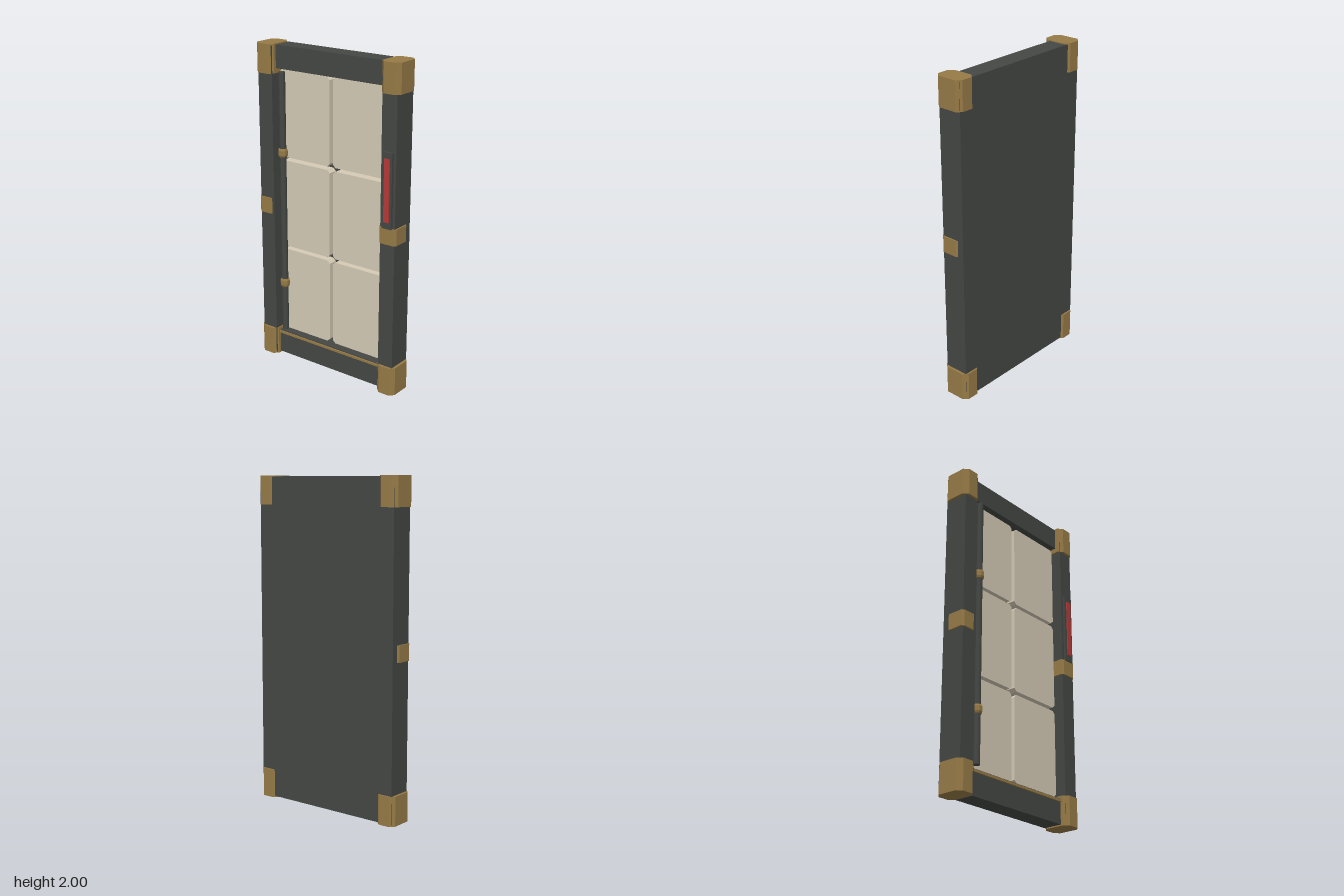
import * as THREE from 'three';

const material = (color) => new THREE.MeshStandardMaterial({ color, flatShading: true });

export function createModel() {
  const door = new THREE.Group();
  door.name = 'panelDoor';
  const dark = material(0x444743);
  const cream = material(0xd4cab4);
  const brass = material(0x967a46);
  const red = material(0xb43a38);

  function add(name, geometry, mat) {
    const mesh = new THREE.Mesh(geometry, mat);
    mesh.name = name;
    door.add(mesh);
    return mesh;
  }

  // Box given by its limits on each axis
  function box(name, mat, [x0, x1], [y0, y1], [z0, z1]) {
    const mesh = add(name, new THREE.BoxGeometry(x1 - x0, y1 - y0, z1 - z0), mat);
    mesh.position.set((x0 + x1) / 2, (y0 + y1) / 2, (z0 + z1) / 2);
    return mesh;
  }

  // Rectangle with cut corners, centred on the origin
  function cutRectangle(w, h, c) {
    const a = w / 2, b = h / 2;
    return new THREE.Shape([
      [-a + c, -b], [a - c, -b], [a, -b + c], [a, b - c],
      [a - c, b], [-a + c, b], [-a, b - c], [-a, -b + c],
    ].map(([x, y]) => new THREE.Vector2(x, y)));
  }

  // Upright block whose four vertical edges are cut
  function cutBlock(name, [x0, x1], [y0, y1], [z0, z1], cut) {
    const geometry = new THREE.ExtrudeGeometry(cutRectangle(x1 - x0, z1 - z0, cut),
      { depth: y1 - y0, bevelEnabled: false });
    geometry.rotateX(-Math.PI / 2);
    const mesh = add(name, geometry, brass);
    mesh.position.set((x0 + x1) / 2, y0, (z0 + z1) / 2);
  }

  // Backing and frame
  box('backing', dark, [-0.42, 0.42], [0.01, 1.99], [-0.081, -0.05]);
  box('rightPost', dark, [-0.497, -0.393], [0.01, 1.99], [-0.081, 0.071]);
  box('leftPost', dark, [0.397, 0.497], [0.01, 1.99], [-0.081, 0.071]);
  box('topRail', dark, [-0.4, 0.4], [1.855, 1.994], [-0.081, 0.041]);
  box('bottomRail', dark, [-0.4, 0.4], [0.008, 0.162], [-0.081, 0.041]);
  box('sillStrip', brass, [-0.39, 0.39], [0.142, 0.156], [0.035, 0.05]);

  // Six panes with cut corners
  const rows = [[0.175, 0.716], [0.738, 1.29], [1.312, 1.846]];
  for (const [y0, y1] of rows) {
    for (const side of [-1, 1]) {
      const pane = add('pane', new THREE.ExtrudeGeometry(
        cutRectangle(0.374, y1 - y0, 0.018), { depth: 0.06, bevelEnabled: false }), cream);
      pane.position.set(side * 0.199, (y0 + y1) / 2, -0.05);
    }
  }

  // Corner caps and mid bands
  for (const [x0, x1] of [[-0.513, -0.386], [0.386, 0.513]]) {
    cutBlock('bottomCap', [x0, x1], [0, 0.179], [-0.092, 0.087], 0.028);
    cutBlock('topCap', [x0, x1], [1.825, 2], [-0.092, 0.087], 0.028);
  }
  cutBlock('rightBand', [-0.507, -0.404], [0.953, 1.053], [-0.046, 0.079], 0.014);
  cutBlock('leftBand', [0.389, 0.506], [0.953, 1.053], [-0.046, 0.079], 0.014);

  // Upright pipe with two collars
  const pipe = add('pipe', new THREE.CylinderGeometry(0.02, 0.02, 1.655, 12), dark);
  pipe.position.set(-0.34, 1.0125, 0.043);
  const collarProfile = [[0.018, -0.026], [0.025, -0.026], [0.03, -0.014],
    [0.03, 0.014], [0.025, 0.026], [0.018, 0.026]].map(([r, y]) => new THREE.Vector2(r, y));
  for (const y of [0.505, 1.35]) {
    const collar = add('pipeCollar', new THREE.LatheGeometry(collarProfile, 8, Math.PI / 8), brass);
    collar.position.set(-0.34, y, 0.043);
  }

  // Indicator light on the left post
  box('lightHousing', dark, [0.415, 0.48], [1.05, 1.498], [0.06, 0.086]);
  box('lightStrip', red, [0.43, 0.466], [1.09, 1.462], [0.08, 0.092]);

  return door;
}
